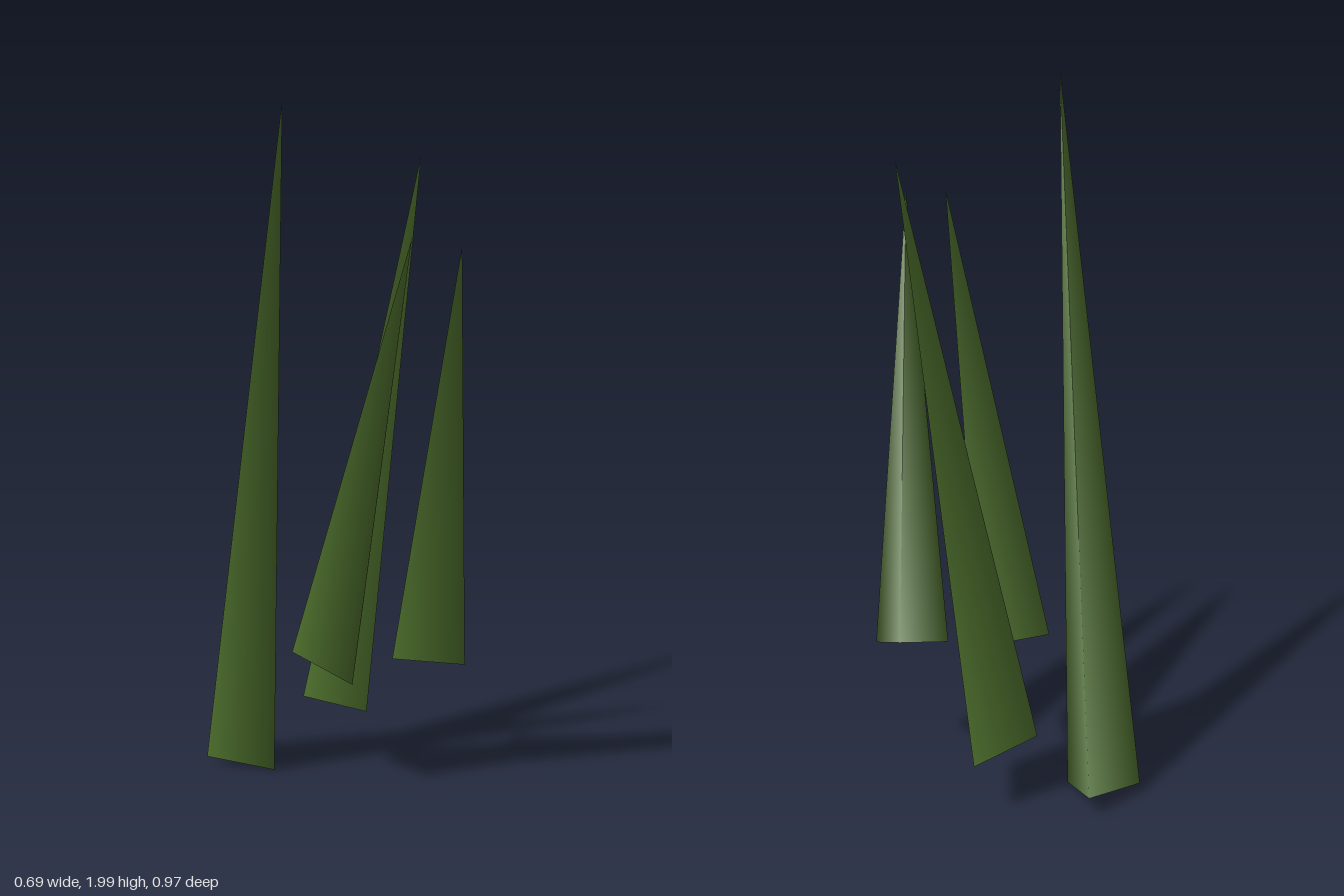
import * as THREE from 'three';

// Each blade: tip, then the three corners of its triangular foot
const BLADES = [
  { name: 'tallBlade', tip: [-0.342, 1.99, 0.17], foot: [[-0.346, 0.034, -0.416], [-0.146, 0.064, -0.486], [-0.18, 0.004, -0.285]] },
  { name: 'middleBlade', tip: [-0.072, 1.64, 0.366], foot: [[-0.18, 0.415, -0.148], [0.035, 0.415, -0.148], [-0.072, 0.35, 0.03]] },
  { name: 'frontBlade', tip: [0.006, 1.625, 0.485], foot: [[0.086, 0.39, -0.026], [0.27, 0.452, -0.116], [0.27, 0.378, 0.083]] },
  { name: 'backBlade', tip: [0.342, 1.845, -0.322], foot: [[-0.057, 0.204, -0.335], [0.15, 0.168, -0.368], [0.077, 0.184, -0.168]] },
];

// Three-sided smooth cone, turned so one corner and the tip match the given points
function makeBlade({ name, tip, foot }, material) {
  const apex = new THREE.Vector3(...tip);
  const corners = foot.map((p) => new THREE.Vector3(...p));
  const centre = new THREE.Vector3();
  corners.forEach((c) => centre.addScaledVector(c, 1 / 3));
  const radius = corners.reduce((sum, c) => sum + c.distanceTo(centre), 0) / 3;
  const height = apex.distanceTo(centre);

  const axis = apex.clone().sub(centre).normalize();
  const forward = corners[0].clone().sub(centre);
  forward.addScaledVector(axis, -forward.dot(axis)).normalize();
  const side = new THREE.Vector3().crossVectors(axis, forward);

  const geometry = new THREE.ConeGeometry(radius, height, 3);
  geometry.translate(0, height / 2, 0);
  geometry.applyMatrix4(new THREE.Matrix4().makeBasis(side, axis, forward).setPosition(centre));
  const mesh = new THREE.Mesh(geometry, material);
  mesh.name = name;
  return mesh;
}

export function createModel() {
  const group = new THREE.Group();
  group.name = 'grassTuft';
  const green = new THREE.MeshStandardMaterial({ color: 0x4e702d });
  green.name = 'grass green';
  BLADES.forEach((blade) => group.add(makeBlade(blade, green)));
  return group;
}
